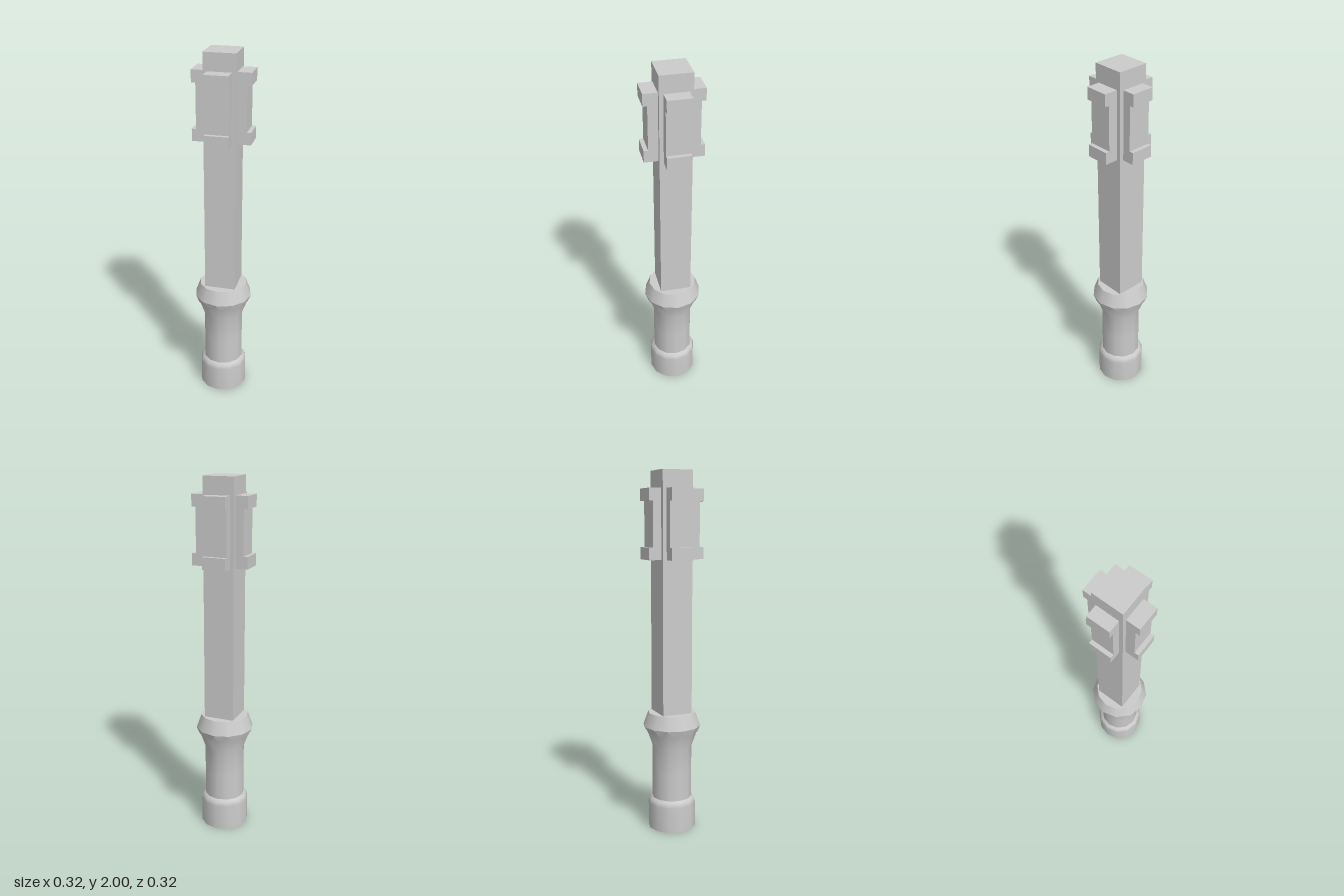
import * as THREE from 'three';

const SIDES = 12;
const smooth = new THREE.MeshStandardMaterial({ color: 0xcccccc, side: THREE.DoubleSide });
const flat = new THREE.MeshStandardMaterial({ color: 0xcccccc, side: THREE.DoubleSide, flatShading: true });

function add(parent, name, geometry, material, x = 0, y = 0, z = 0) {
  const mesh = new THREE.Mesh(geometry, material);
  mesh.name = name;
  mesh.position.set(x, y, z);
  parent.add(mesh);
  return mesh;
}

function turned(points) {
  return new THREE.LatheGeometry(points.map(([r, y]) => new THREE.Vector2(r, y)), SIDES);
}

// Tabs hanging from the collar rim, separated by V notches at its corners
function tabRing(topRadius, topY, bottomRadius, bottomY, notch) {
  const at = (i, t, radius, y) => {
    const a = (i / SIDES) * Math.PI * 2, b = ((i + 1) / SIDES) * Math.PI * 2;
    return [
      radius * THREE.MathUtils.lerp(Math.sin(a), Math.sin(b), t), y,
      radius * THREE.MathUtils.lerp(Math.cos(a), Math.cos(b), t),
    ];
  };
  const positions = [];
  for (let i = 0; i < SIDES; i++) {
    const a = at(i, 0, topRadius, topY), b = at(i, 1, topRadius, topY);
    const c = at(i, 1 - notch, bottomRadius, bottomY), d = at(i, notch, bottomRadius, bottomY);
    positions.push(...a, ...d, ...c, ...a, ...c, ...b);
  }
  const geometry = new THREE.BufferGeometry();
  geometry.setAttribute('position', new THREE.Float32BufferAttribute(positions, 3));
  geometry.computeVertexNormals();
  return geometry;
}

// Bracket pointing along +z: a plate with a deeper lip at each end
function bracket(name, reach) {
  const group = new THREE.Group();
  group.name = name;
  const inner = 0.08, width = 0.128;
  const plateDepth = reach - 0.023 - inner, lipDepth = reach - inner;
  add(group, 'bracketPlate', new THREE.BoxGeometry(width, 0.25, plateDepth), flat, 0, 1.717, inner + plateDepth / 2);
  for (const [lip, y] of [['upperLip', 1.872], ['lowerLip', 1.563]]) {
    add(group, lip, new THREE.BoxGeometry(width, 0.066, lipDepth), flat, 0, y, inner + lipDepth / 2);
  }
  return group;
}

export function createModel() {
  const model = new THREE.Group();
  model.name = 'squareShaftedRod';

  // Handle, open at the bottom
  const handle = new THREE.Group();
  handle.name = 'handle';
  handle.position.x = -0.001;
  model.add(handle);
  add(handle, 'pommel', turned([[0.135, 0], [0.135, 0.145], [0.128, 0.168], [0.112, 0.18]]), smooth);
  add(handle, 'grip', turned([[0.112, 0.175], [0.112, 0.33], [0.112, 0.48], [0.146, 0.575], [0.152, 0.6]]), smooth);

  // Collar
  add(handle, 'collar', turned([[0.162, 0.6], [0.134, 0.677]]), smooth);
  add(handle, 'collarTabs', tabRing(0.162, 0.6, 0.152, 0.568, 0.2), flat);
  const cap = add(handle, 'collarTop', new THREE.CircleGeometry(0.134, SIDES), flat, 0, 0.677, 0);
  cap.rotation.x = -Math.PI / 2;

  // Square shaft
  add(model, 'shaft', new THREE.BoxGeometry(0.172, 1.33, 0.172), flat, -0.001, 1.335, -0.002);

  // Four brackets around the shaft head
  const brackets = [['frontBracket', 0.16], ['leftBracket', 0.16], ['backBracket', 0.157], ['rightBracket', 0.155]];
  brackets.forEach(([name, reach], i) => {
    const part = bracket(name, reach);
    part.rotation.y = (i * Math.PI) / 2;
    part.position.set(i % 2 ? 0 : -0.001, 0, i % 2 ? -0.002 : 0);
    model.add(part);
  });

  return model;
}
